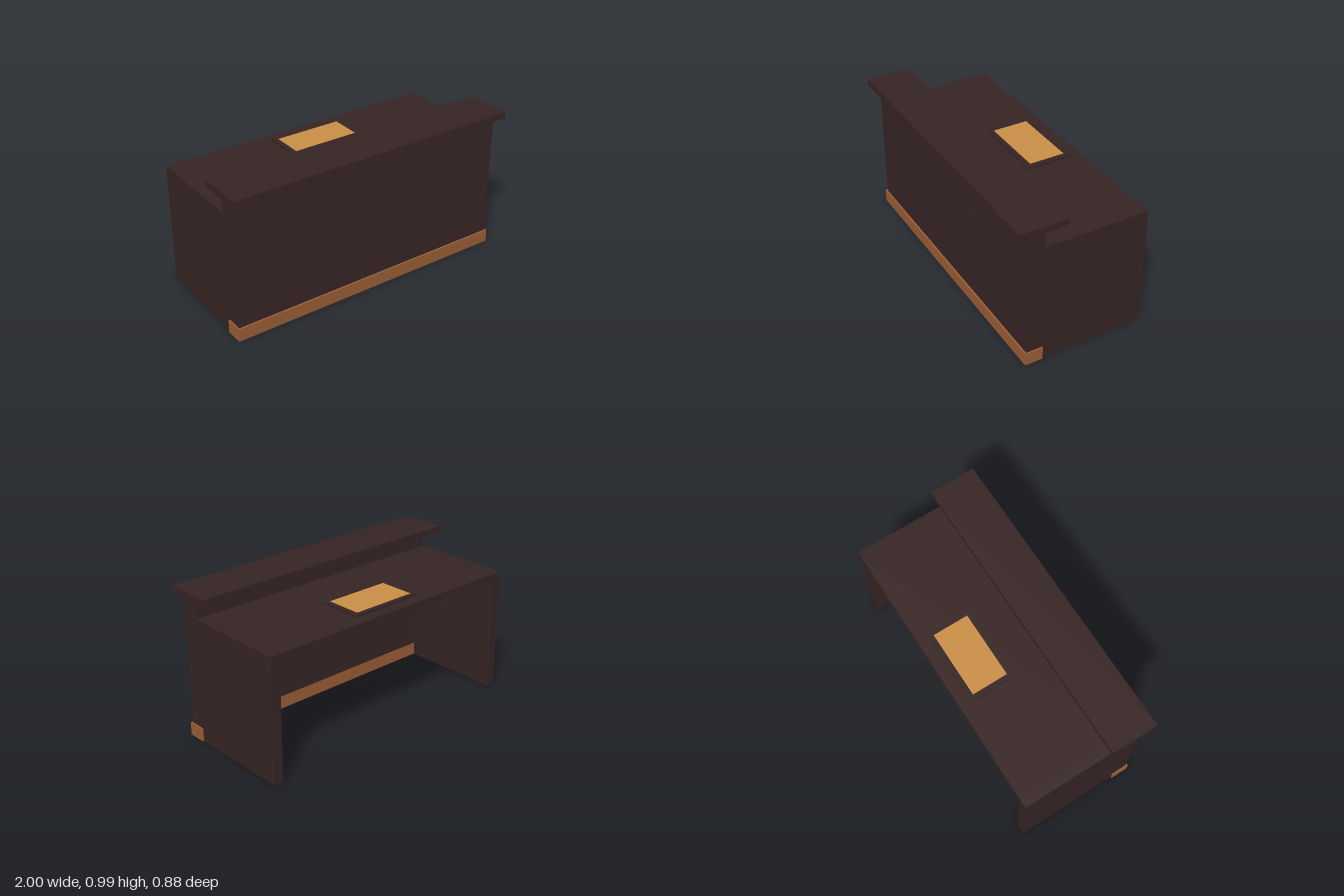
import * as THREE from 'three';

const darkWood = new THREE.MeshStandardMaterial({ name: 'dark wood', color: 0x362424 });
const warmWood = new THREE.MeshStandardMaterial({ name: 'warm wood', color: 0x985c34 });
const amber = new THREE.MeshStandardMaterial({ name: 'amber', color: 0xc88d45 });

// Box given by its limits on each axis
function block(name, material, [x0, x1], [y0, y1], [z0, z1]) {
  const mesh = new THREE.Mesh(new THREE.BoxGeometry(x1 - x0, y1 - y0, z1 - z0), material);
  mesh.position.set((x0 + x1) / 2, (y0 + y1) / 2, (z0 + z1) / 2);
  mesh.name = name;
  return mesh;
}

export function createModel() {
  const desk = new THREE.Group();
  desk.name = 'receptionDesk';

  // Front panel and raised counter
  desk.add(block('frontPanel', darkWood, [-0.967, 0.967], [0.01, 0.949], [0.26, 0.366]));
  desk.add(block('counterTop', darkWood, [-1, 1], [0.948, 0.99], [0.13, 0.44]));

  // Worktop between two side panels, open at the back
  desk.add(block('worktop', darkWood, [-0.907, 0.907], [0.76, 0.82], [-0.44, 0.27]));
  for (const side of [-1, 1]) {
    const outer = side * 0.967, inner = side * 0.907;
    desk.add(block(side > 0 ? 'leftSidePanel' : 'rightSidePanel', darkWood,
      [Math.min(outer, inner), Math.max(outer, inner)], [0, 0.82], [-0.44, 0.365]));
  }

  // Skirting wraps the foot of the front panel
  desk.add(block('skirting', warmWood, [-0.977, 0.977], [0.001, 0.088], [0.258, 0.378]));

  // Desk pad with inset
  desk.add(block('deskPad', darkWood, [-0.26, 0.26], [0.815, 0.835], [-0.362, -0.062]));
  desk.add(block('padInset', amber, [-0.226, 0.226], [0.83, 0.836], [-0.334, -0.093]));

  // Stepped fretwork, mirrored on the front: [x0, x1, y0, y1] with x measured outwards
  const bars = [
    [0.465, 0.79, 0.695, 0.727], [0.465, 0.497, 0.61, 0.695], [0.34, 0.465, 0.61, 0.642],
    [0.405, 0.437, 0.658, 0.758], [0.243, 0.405, 0.658, 0.69], [0.437, 0.465, 0.658, 0.69],
    [0.663, 0.79, 0.653, 0.69], [0.663, 0.695, 0.508, 0.653],
    [0.695, 0.743, 0.562, 0.594], [0.594, 0.663, 0.562, 0.594], [0.594, 0.626, 0.466, 0.562],
  ];
  for (const side of [-1, 1]) {
    const fretwork = new THREE.Group();
    fretwork.name = side > 0 ? 'leftFretwork' : 'rightFretwork';
    for (const [x0, x1, y0, y1] of bars) {
      const xs = side > 0 ? [x0, x1] : [-x1, -x0];
      fretwork.add(block('fretBar', darkWood, xs, [y0, y1], [0.364, 0.37]));
    }
    desk.add(fretwork);
  }
  return desk;
}
